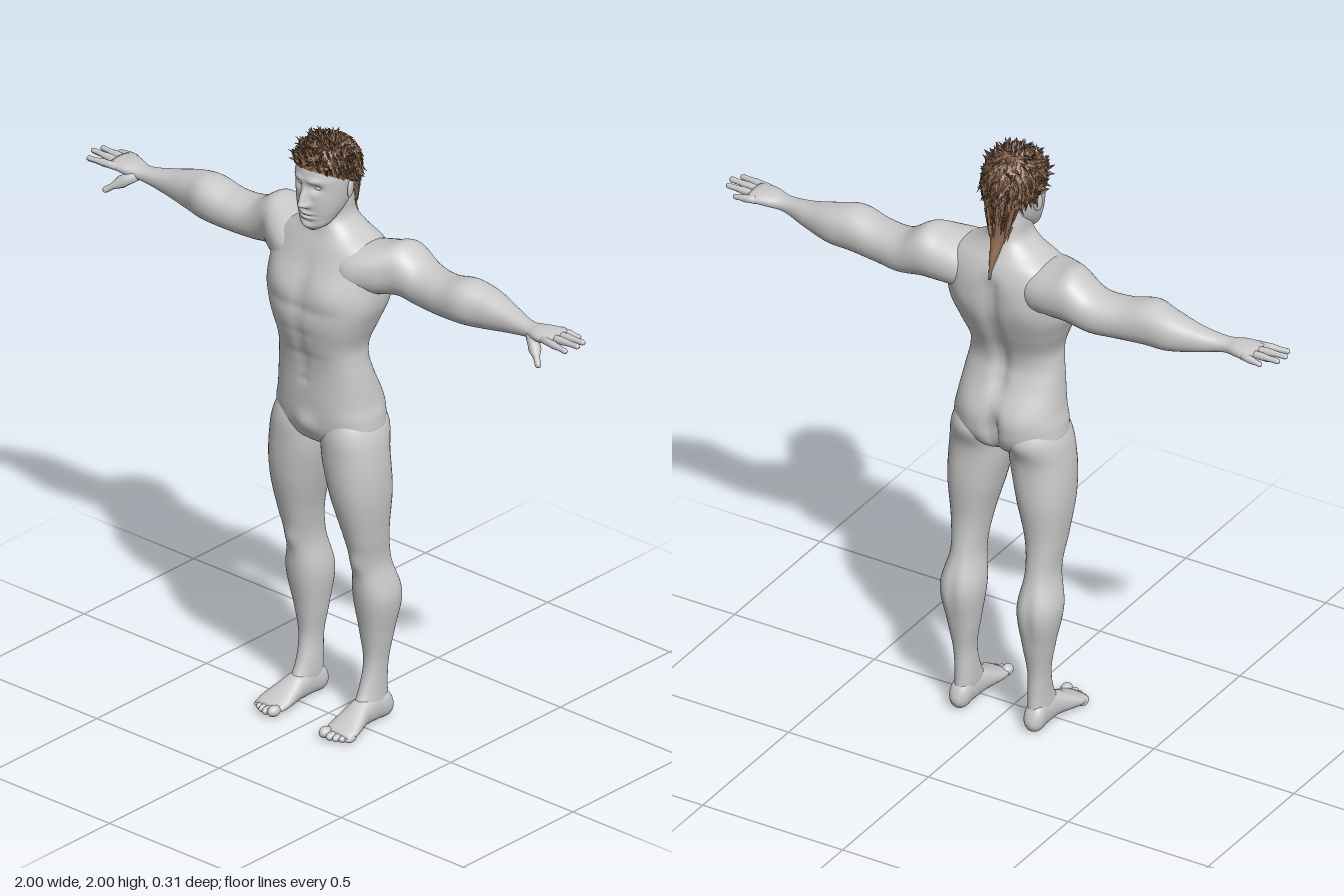
import * as THREE from 'three';
import { mergeGeometries } from 'three/addons/utils/BufferGeometryUtils.js';

const skin = new THREE.MeshStandardMaterial({ color: 0xcacaca });
skin.name = 'grey skin';
const hairLight = new THREE.MeshStandardMaterial({ color: 0x8f6c52, side: THREE.DoubleSide });
hairLight.name = 'brown hair';
const hairDark = new THREE.MeshStandardMaterial({ color: 0x614736, side: THREE.DoubleSide });
hairDark.name = 'dark brown hair';

const bell = (d, s) => Math.exp(-(d / s) * (d / s));
const step = THREE.MathUtils.smoothstep;
const V = (x, y, z) => new THREE.Vector3(x, y, z);

// Smooth skin over keys [t, uMin, uMax, vMin, vMax]; place maps (t, u, v) to a point
function loft(keys, place, { rows = 60, seg = 40, n = 2.2, shape = null } = {}) {
  const curve = new THREE.CubicInterpolant(keys.map(k => k[0]), keys.flatMap(k => k.slice(1)), 4);
  const t0 = keys[0][0], t1 = keys[keys.length - 1][0];
  const pos = [], index = [];
  const power = c => Math.sign(c) * Math.abs(c) ** (2 / n);
  const add = (t, u, v) => {
    const p = place(t, u, v);
    if (shape) shape(p);
    pos.push(p.x, p.y, p.z);
  };
  for (let i = 0; i <= rows; i++) {
    const t = t0 + (t1 - t0) * i / rows;
    const [u0, u1, v0, v1] = Array.from(curve.evaluate(t));
    for (let j = 0; j < seg; j++) {
      const a = j / seg * Math.PI * 2;
      add(t, (u0 + u1 + (u1 - u0) * power(Math.cos(a))) / 2, (v0 + v1 + (v1 - v0) * power(Math.sin(a))) / 2);
    }
  }
  for (const k of [keys[0], keys[keys.length - 1]]) add(k[0], (k[1] + k[2]) / 2, (k[3] + k[4]) / 2);
  const low = (rows + 1) * seg, high = low + 1;
  for (let j = 0; j < seg; j++) {
    const m = (j + 1) % seg;
    for (let i = 0; i < rows; i++) {
      const a = i * seg + j, b = i * seg + m, c = a + seg, d = b + seg;
      index.push(a, c, b, b, c, d);
    }
    index.push(low, j, m, high, rows * seg + m, rows * seg + j);
  }
  const g = new THREE.BufferGeometry();
  g.setAttribute('position', new THREE.Float32BufferAttribute(pos, 3));
  g.setIndex(index);
  g.computeVertexNormals();
  return g;
}
const alongY = (t, u, v) => V(u, t, v);
const alongX = (t, u, v) => V(t, v, u);
const alongZ = (t, u, v) => V(v, u, t);
const symmetric = ([y, w, b, f]) => [y, -w, w, b, f];

// Turn a shape that grows along +y so that it runs from a towards b
function aim(g, a, b) {
  const q = new THREE.Quaternion().setFromUnitVectors(V(0, 1, 0), b.clone().sub(a).normalize());
  return g.applyQuaternion(q).translate(a.x, a.y, a.z);
}

// Tapered digit with a round tip
function digit(a, b, r0, r1) {
  const h = a.distanceTo(b);
  const pts = [[0, 0], [r0, 0], [r0 * 0.95, h * 0.3], [r0, h * 0.45], [r1, h * 0.7], [r1, h - r1],
    [r1 * 0.75, h - r1 * 0.35], [0, h]].map(p => new THREE.Vector2(...p));
  return aim(new THREE.LatheGeometry(pts, 12), a, b);
}

function ball(x, y, z, rx, ry, rz) {
  return new THREE.SphereGeometry(1, 24, 16).scale(rx, ry, rz).translate(x, y, z);
}

function mirrored(geometry) {
  const g = geometry.clone().scale(-1, 1, 1);
  const ix = g.index.array;
  for (let i = 0; i < ix.length; i += 3) [ix[i], ix[i + 1]] = [ix[i + 1], ix[i]];
  g.computeVertexNormals();
  return g;
}

export function createModel() {
  const model = new THREE.Group();
  model.name = 'figure';
  const part = (name, g, material = skin) => {
    const m = new THREE.Mesh(g, material);
    m.name = name;
    model.add(m);
  };
  const pair = (name, g) => {
    part('left' + name, g);
    part('right' + name, mirrored(g));
  };

  // Torso and neck, with chest, belly, spine and seat modelled in
  part('torso', loft([
    [0.935, 0.03, -0.05, 0.03], [0.965, 0.11, -0.105, 0.08], [1.0, 0.176, -0.128, 0.1],
    [1.05, 0.184, -0.134, 0.109], [1.1, 0.174, -0.132, 0.112], [1.2, 0.16, -0.092, 0.113],
    [1.25, 0.152, -0.078, 0.118], [1.3, 0.15, -0.085, 0.13], [1.38, 0.178, -0.118, 0.146],
    [1.45, 0.203, -0.142, 0.143], [1.52, 0.208, -0.15, 0.122], [1.58, 0.205, -0.149, 0.097],
    [1.63, 0.175, -0.133, 0.075], [1.665, 0.112, -0.113, 0.06], [1.7, 0.07, -0.097, 0.053],
    [1.76, 0.06, -0.085, 0.045], [1.82, 0.058, -0.08, 0.04],
  ].map(symmetric), alongY, {
    rows: 110, seg: 80, n: 2.4,
    shape: p => {
      const ax = Math.abs(p.x), y = p.y;
      const front = THREE.MathUtils.clamp(p.z / 0.05, 0, 1), back = THREE.MathUtils.clamp(-p.z / 0.05, 0, 1);
      p.z += front * (0.012 * bell(ax - 0.09, 0.065) * bell(y - 1.5, 0.05)
        - 0.004 * bell(y - 1.435, 0.02) * bell(ax, 0.15)
        - 0.006 * bell(ax, 0.018) * step(y, 1.15, 1.25) * (1 - step(y, 1.55, 1.62))
        - 0.002 * (bell(y - 1.35, 0.016) + bell(y - 1.27, 0.016)) * bell(ax, 0.08)
        - 0.005 * bell(ax, 0.01) * bell(y - 1.18, 0.012)
        + 0.014 * bell(ax, 0.035) * bell(y - 1.03, 0.035));
      p.z += back * (0.018 * bell(ax, 0.025) * step(y, 1.12, 1.2) * (1 - step(y, 1.55, 1.62))
        + 0.032 * bell(ax, 0.018) * bell(y - 1.03, 0.075)
        - 0.01 * bell(ax - 0.08, 0.055) * bell(y - 1.06, 0.07)
        - 0.008 * bell(ax - 0.11, 0.05) * bell(y - 1.5, 0.06));
    },
  }));

  // Arms and palms, the roots sunk into chest and back
  pair('Arm', loft([
    [0.06, -0.11, 0.07, 1.5, 1.63], [0.13, -0.14, 0.085, 1.485, 1.643], [0.2, -0.152, 0.058, 1.49, 1.656],
    [0.26, -0.155, 0.02, 1.494, 1.667], [0.34, -0.148, 0.005, 1.483, 1.62], [0.43, -0.135, 0.012, 1.485, 1.613],
    [0.53, -0.13, 0.018, 1.49, 1.634], [0.6, -0.127, 0, 1.495, 1.622], [0.7, -0.1, -0.015, 1.515, 1.595],
    [0.79, -0.075, -0.013, 1.535, 1.58], [0.84, -0.09, 0.002, 1.541, 1.585], [0.88, -0.1, 0.005, 1.548, 1.583],
    [0.9, -0.097, 0.002, 1.554, 1.579],
  ], alongX, { rows: 80, seg: 36 }));

  // Fingers and thumb
  const fingers = [[-0.089, 0.945, -0.098, 1.56], [-0.062, 0.99, -0.066, 1.57], [-0.034, 0.998, -0.032, 1.572],
    [-0.007, 0.982, 0.008, 1.565]].map(([z, tip, tz, ty]) => digit(V(0.87, 1.566, z), V(tip, ty, tz), 0.0125, 0.009));
  fingers.push(digit(V(0.81, 1.553, -0.025), V(0.892, 1.492, 0.036), 0.02, 0.01));
  pair('Fingers', mergeGeometries(fingers));

  // Legs, the tops tapering into the hips
  pair('Leg', loft([
    [0.035, 0.106, 0.158, -0.118, 0.03], [0.07, 0.1, 0.162, -0.116, 0.02], [0.11, 0.099, 0.161, -0.113, -0.002],
    [0.2, 0.1, 0.165, -0.113, -0.025], [0.3, 0.085, 0.182, -0.13, -0.015], [0.43, 0.07, 0.204, -0.15, 0.01],
    [0.55, 0.085, 0.181, -0.116, 0.024], [0.65, 0.074, 0.191, -0.105, 0.055], [0.8, 0.036, 0.208, -0.115, 0.093],
    [0.93, 0.008, 0.205, -0.112, 0.102], [1.02, 0.008, 0.188, -0.122, 0.098], [1.11, 0.04, 0.14, -0.085, 0.06],
  ], alongY, {
    rows: 84, seg: 40,
    shape: p => { // kneecap, calf and lower seat
      if (p.z > -0.04) p.z += 0.01 * bell(p.y - 0.56, 0.035) * bell(p.x - 0.133, 0.03);
      else p.z += 0.007 * bell(p.x - 0.135, 0.015) * bell(p.y - 0.42, 0.08)
        - 0.012 * bell(p.x - 0.085, 0.055) * bell(p.y - 1.01, 0.04);
    },
  }));

  // Feet and toes
  pair('Foot', loft([
    [-0.131, 0.02, 0.045, 0.12, 0.145], [-0.118, 0.004, 0.075, 0.106, 0.16], [-0.06, 0, 0.1, 0.1, 0.165],
    [0, 0.002, 0.09, 0.095, 0.17], [0.05, 0, 0.065, 0.089, 0.186], [0.09, 0, 0.043, 0.086, 0.196],
    [0.125, 0.003, 0.028, 0.092, 0.19],
  ], alongZ, { rows: 40, seg: 32, n: 2.2 }));
  pair('Toes', mergeGeometries([[0.106, 0.132, 0.018], [0.131, 0.131, 0.013], [0.151, 0.124, 0.012],
    [0.169, 0.115, 0.012], [0.185, 0.105, 0.012]].map(([x, z, r]) => ball(x, r, z, r, r, 0.024))));

  // Head with brow, eye sockets, nose, mouth and chin
  part('head', loft([
    [1.682, 0.016, 0.05, 0.085], [1.7, 0.043, 0.02, 0.1], [1.73, 0.061, -0.02, 0.104],
    [1.77, 0.075, -0.06, 0.108], [1.82, 0.083, -0.082, 0.109], [1.87, 0.085, -0.088, 0.109],
    [1.91, 0.077, -0.08, 0.094], [1.94, 0.052, -0.058, 0.06], [1.952, 0.02, -0.025, 0.025],
  ].map(symmetric), alongY, {
    rows: 100, seg: 112, n: 2.2,
    shape: p => {
      if (p.z < 0.03) return;
      const ax = Math.abs(p.x), y = p.y;
      const ridge = step(y, 1.762, 1.78) * (1 - step(y, 1.78, 1.86));
      p.z += 0.031 * ridge * bell(ax, 0.012 + 0.004 * bell(y - 1.775, 0.02))
        + 0.007 * bell(ax - 0.013, 0.008) * bell(y - 1.775, 0.01)
        - 0.014 * bell(ax - 0.035, 0.018) * bell(y - 1.835, 0.014)
        + 0.006 * bell(ax - 0.03, 0.025) * bell(y - 1.86, 0.01)
        + 0.009 * bell(ax, 0.024) * (bell(y - 1.748, 0.007) + bell(y - 1.732, 0.007))
        - 0.004 * bell(ax, 0.03) * bell(y - 1.74, 0.003)
        - 0.004 * bell(ax, 0.03) * bell(y - 1.718, 0.008)
        + 0.006 * bell(ax, 0.022) * bell(y - 1.7, 0.012);
    },
  }));
  pair('Eye', ball(0.034, 1.835, 0.082, 0.014, 0.007, 0.013));
  pair('Ear', ball(0, 0, 0, 0.008, 0.032, 0.018).rotateY(0.35).rotateX(-0.15).translate(0.087, 1.82, -0.004));

  // Hair cap and the tail running down the neck
  const C = V(0, 1.872, 0.002);
  part('hairCap', new THREE.SphereGeometry(1, 32, 16, 0, Math.PI * 2, 0, 1.75).rotateX(-0.42)
    .scale(0.096, 0.102, 0.109).translate(C.x, C.y, C.z), hairLight);
  part('hairTail', loft([
    [1.59, -0.003, 0.003, -0.15, -0.13], [1.65, -0.012, 0.012, -0.136, -0.1], [1.72, -0.026, 0.026, -0.113, -0.075],
    [1.78, -0.048, 0.048, -0.106, -0.055], [1.86, -0.07, 0.07, -0.1, -0.03],
  ], alongY, { rows: 24, seg: 20 }), hairLight);

  // Spiky locks: upright on the crown, swept down at the back
  let seed = 7;
  const rand = () => (seed = (seed * 16807) % 2147483647) / 2147483647;
  const locks = [[], []];
  const lock = (root, dir, h, r) => {
    const g = new THREE.ConeGeometry(r, h, 4, 1, true).scale(1, 1, 0.6).translate(0, h / 2, 0);
    locks[rand() < 0.65 ? 0 : 1].push(aim(g, root, root.clone().add(dir)).toNonIndexed());
  };
  const tilt = new THREE.Euler(-0.42, 0, 0);
  for (let i = 0; i < 420; i++) {
    const th = Math.acos(1 - 1.17 * (i + 0.5) / 420), ph = i * 2.39996;
    const n = V(Math.sin(th) * Math.cos(ph), Math.cos(th), Math.sin(th) * Math.sin(ph)).applyEuler(tilt);
    const root = n.clone().multiply(V(0.094, 0.1, 0.106)).add(C);
    const sweep = n.z < -0.2 ? V(0, -1.6, -0.1) : V(n.x * 0.4, n.y > 0.4 ? 0.3 : 0.8, 0.1);
    const dir = n.clone().multiplyScalar(0.45).add(sweep)
      .add(V(rand() - 0.5, rand() - 0.5, rand() - 0.5).multiplyScalar(1.5));
    if (dir.dot(n) < 0.12) dir.addScaledVector(n, 0.12 - dir.dot(n));
    lock(root, dir.normalize(), 0.02 + 0.017 * rand(), 0.009);
  }
  for (let i = 0; i < 70; i++) {
    const y = 1.67 + 0.17 * rand(), w = 0.012 + 0.045 * step(y, 1.66, 1.82);
    const s = rand() * 2 - 1;
    const root = V(s * w, y, -0.105 + 0.025 * s * s - 0.024 * (1 - step(y, 1.64, 1.74)));
    lock(root, V(-s * 0.2, -1, -0.12 - 0.1 * rand()), 0.05 + 0.03 * rand(), 0.008);
  }
  [hairLight, hairDark].forEach((material, k) => {
    const g = mergeGeometries(locks[k]);
    g.computeVertexNormals();
    part(k ? 'darkLocks' : 'lightLocks', g, material);
  });
  return model;
}
